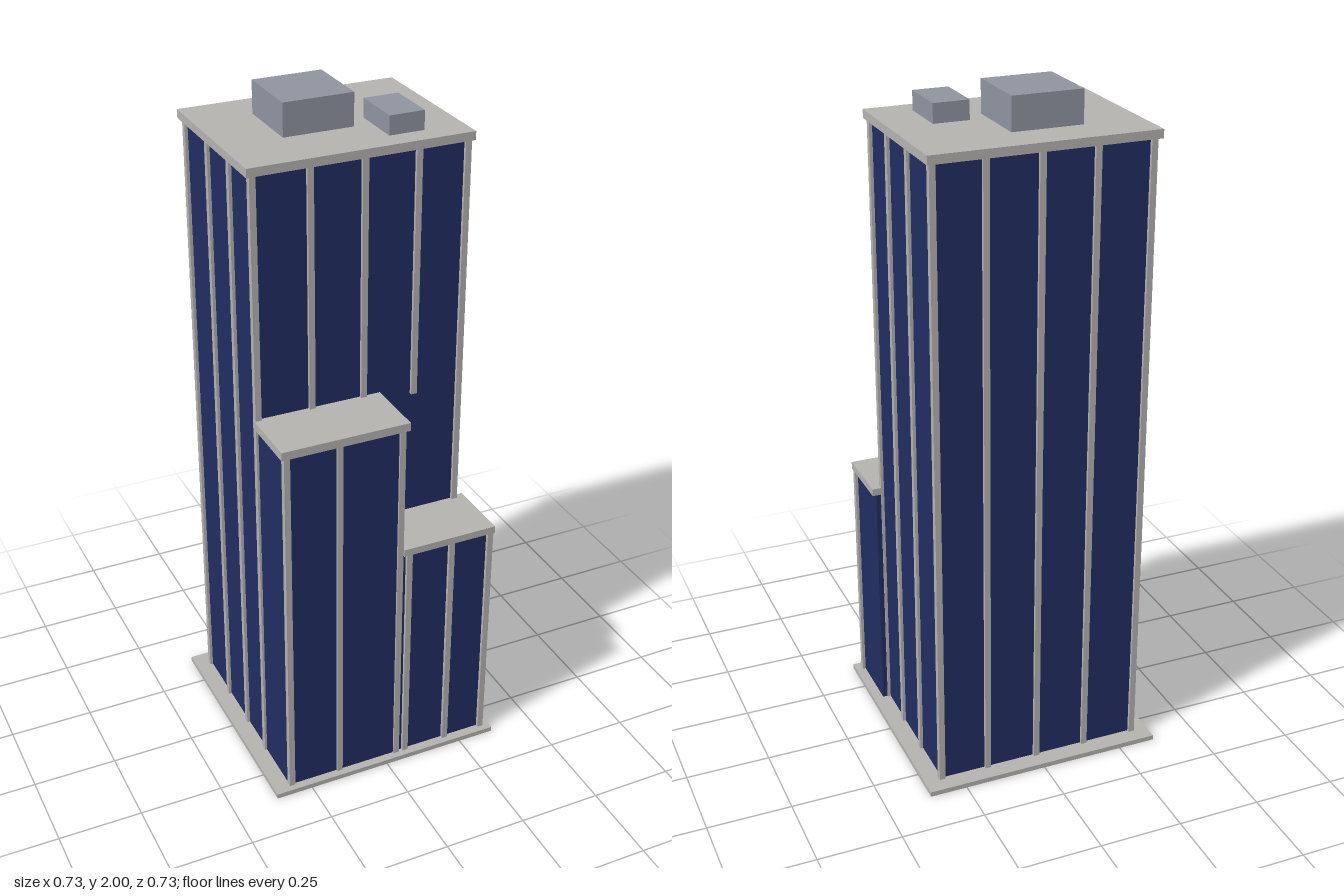
import * as THREE from 'three';

const mat = (name, color) => {
  const m = new THREE.MeshStandardMaterial({ color });
  m.name = name;
  return m;
};

export function createModel() {
  const glass = mat('blueGlass', 0x212d62);
  const concrete = mat('concrete', 0xb4b3b0);
  const metal = mat('plantMetal', 0x9094a0);
  const model = new THREE.Group();
  model.name = 'steppedTower';

  // Box given by its limits on each axis
  const box = (parent, name, material, [x0, x1], [y0, y1], [z0, z1]) => {
    const mesh = new THREE.Mesh(new THREE.BoxGeometry(x1 - x0, y1 - y0, z1 - z0), material);
    mesh.position.set((x0 + x1) / 2, (y0 + y1) / 2, (z0 + z1) / 2);
    mesh.name = name;
    parent.add(mesh);
  };
  // Square vertical rib centred on x, z
  const R = 0.009;
  const rib = (parent, x, z, y0, y1) =>
    box(parent, 'rib', concrete, [x - R, x + R], [y0, y1], [z - R, z + R]);
  const section = (name) => {
    const g = new THREE.Group();
    g.name = name;
    model.add(g);
    return g;
  };

  const GROUND = 0.015;
  box(model, 'basePlate', concrete, [-0.363, 0.363], [0, GROUND], [-0.363, 0.363]);

  // Main tower
  const tower = section('mainTower');
  box(tower, 'towerGlass', glass, [-0.311, 0.309], [GROUND, 1.885], [-0.309, 0.155]);
  box(tower, 'towerRoof', concrete, [-0.329, 0.327], [1.88, 1.905], [-0.33, 0.168]);
  const xs = [-0.311, -0.15, 0.007, 0.164, 0.309];
  const zs = [-0.309, -0.143, 0.012, 0.155];
  xs.forEach((x, i) => {
    const corner = i === 0 || i === xs.length - 1;
    rib(tower, x, -0.309, GROUND, 1.88);
    rib(tower, x, 0.155, corner ? GROUND : 1.15, 1.88);
  });
  for (const z of zs.slice(1, -1)) {
    rib(tower, -0.311, z, GROUND, 1.88);
    rib(tower, 0.309, z, GROUND, 1.88);
  }

  // Middle-height wing
  const middle = section('middleWing');
  box(middle, 'middleGlass', glass, [-0.313, 0.05], [GROUND, 1.155], [0.15, 0.338]);
  box(middle, 'middleRoof', concrete, [-0.323, 0.06], [1.15, 1.175], [0.15, 0.347]);
  for (const x of [-0.306, -0.15, 0.04]) rib(middle, x, 0.335, GROUND, 1.15);

  // Low wing
  const low = section('lowWing');
  box(low, 'lowGlass', glass, [0.05, 0.333], [GROUND, 0.745], [0.15, 0.334]);
  box(low, 'lowRoof', concrete, [0.05, 0.345], [0.738, 0.76], [0.146, 0.347]);
  for (const x of [0.07, 0.207, 0.333]) rib(low, x, 0.335, GROUND, 0.738);

  // Rooftop plant rooms
  box(model, 'largePlantRoom', metal, [-0.156, 0.05], [1.905, 2], [-0.209, 0]);
  box(model, 'smallPlantRoom', metal, [0.103, 0.207], [1.905, 1.96], [-0.053, 0.103]);

  return model;
}
